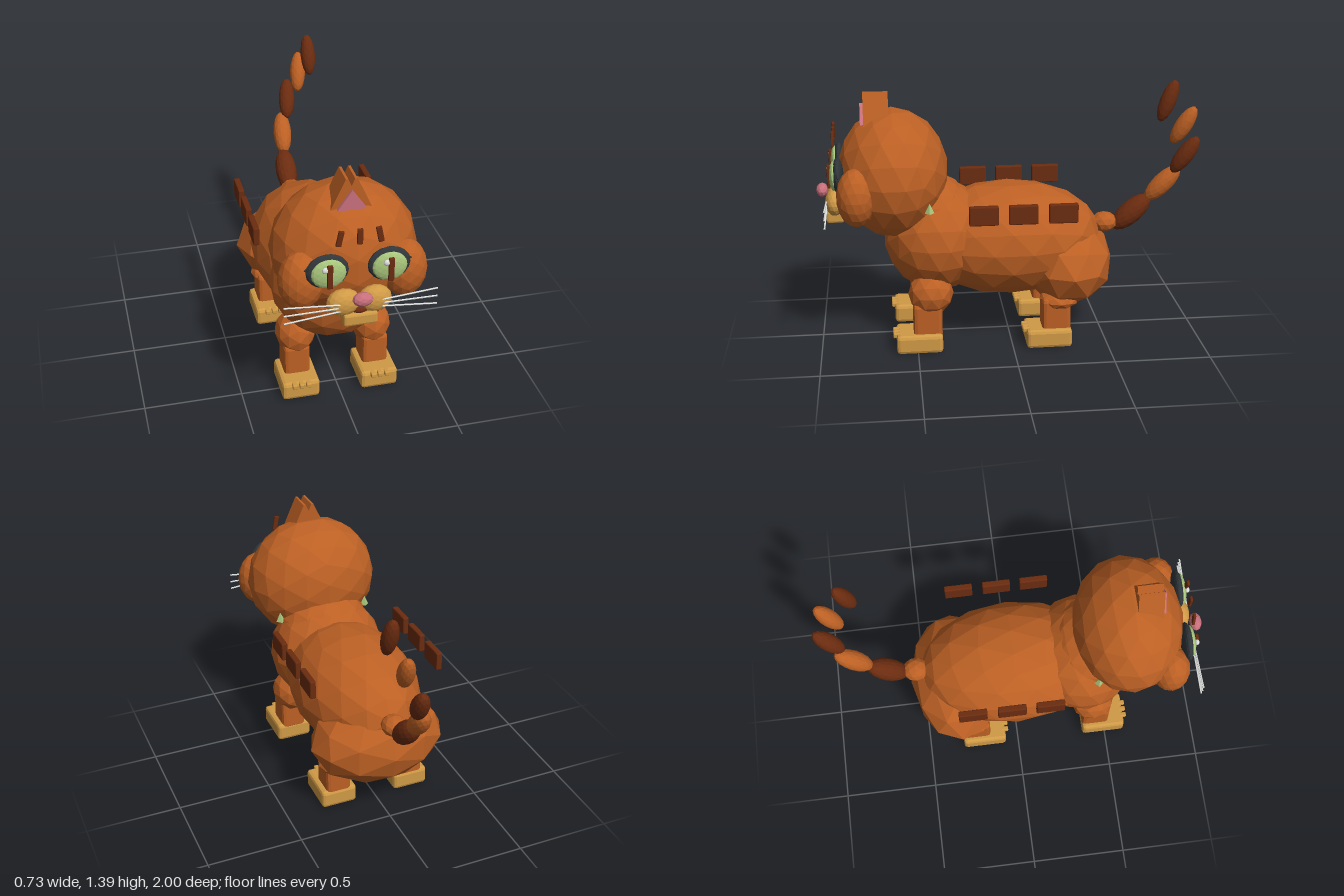
import * as THREE from 'three';
import { RoundedBoxGeometry } from 'three/addons/geometries/RoundedBoxGeometry.js';

const mat = (name, color) => {
  const m = new THREE.MeshStandardMaterial({ color, flatShading: true });
  m.name = name;
  return m;
};

export function createModel() {
  const root = new THREE.Group();
  root.name = 'cat';
  const fur = mat('orange fur', 0xbc6024);
  const stripe = mat('dark brown stripe', 0x6b2c10);
  const cream = mat('tan paws and muzzle', 0xd09a46);
  const green = mat('eye green', 0xa9c67c);
  const dark = mat('eye rim', 0x30363a);
  const pink = mat('pink', 0xc9707c);
  const white = mat('pale grey', 0xdcdedc);

  const add = (name, geo, m, p = [0, 0, 0], rot = [0, 0, 0]) => {
    const mesh = new THREE.Mesh(geo, m);
    mesh.name = name;
    mesh.position.set(...p);
    mesh.rotation.set(...rot);
    root.add(mesh);
    return mesh;
  };
  // Faceted ellipsoid
  const ball = (name, m, p, r, detail = 2) =>
    add(name, new THREE.IcosahedronGeometry(1, detail).scale(...r), m, p);
  // Box with bevelled edges
  const box = (name, m, p, s, bevel = 0.006, rot) =>
    add(name, new RoundedBoxGeometry(...s, 1, bevel), m, p, rot);

  // Body
  ball('torso', fur, [0, 0.53, 0], [0.33, 0.303, 0.5]);
  ball('chest', fur, [0, 0.56, 0.38], [0.315, 0.3, 0.28]);
  ball('neck', fur, [0, 0.7, 0.42], [0.25, 0.19, 0.22]);
  ball('rump', fur, [0, 0.395, -0.31], [0.365, 0.235, 0.25], 1);

  // Head
  ball('head', fur, [0, 0.905, 0.6], [0.36, 0.337, 0.287]);

  for (const s of [-1, 1]) {
    ball('cheek', fur, [s * 0.25, 0.85, 0.79], [0.112, 0.152, 0.1]);

    // Legs, paws and toes
    for (const [part, legZ, pawZ] of [['front', 0.445, 0.49], ['hind', -0.23, -0.19]]) {
      const isFront = part === 'front';
      ball(part + 'UpperLeg', fur, isFront ? [s * 0.2, 0.3, 0.425] : [s * 0.2, 0.24, -0.25],
        isFront ? [0.105, 0.115, 0.118] : [0.1, 0.05, 0.105], 1);
      box(part + 'Leg', fur, [s * 0.207, 0.165, legZ], [0.135, 0.19, 0.15], 0.02);
      box(part + 'Paw', cream, [s * 0.207, 0.05, pawZ], [0.195, 0.1, 0.24], 0.018);
      for (const t of [-1, 0, 1])
        box(part + 'Toe', cream, [s * 0.207 + t * 0.036, 0.087, pawZ + 0.1], [0.026, 0.026, 0.075]);
    }

    // Side stripes
    for (const z of [0.158, -0.042, -0.245])
      box('sideStripe', stripe, [s * 0.35, 0.765, z], [0.032, 0.1, 0.148]);

    // Eyes
    ball('eyeRim', dark, [s * 0.147, 0.94, 0.88], [0.103, 0.09, 0.03]);
    add('eyeCorner', new THREE.ConeGeometry(0.05, 0.06, 6).scale(1, 1, 0.4), dark,
      [s * 0.228, 0.955, 0.878], [0, 0, -s * Math.PI / 2]);
    ball('iris', green, [s * 0.145, 0.937, 0.9], [0.084, 0.076, 0.024]);
    box('pupil', stripe, [s * 0.145, 0.935, 0.926], [0.027, 0.122, 0.016], 0.004);
    ball('eyeGlint', white, [s * 0.145 - 0.022, 0.973, 0.925], [0.016, 0.016, 0.012], 1);

    // Muzzle half and whiskers
    ball('muzzle', cream, [s * 0.075, 0.775, 0.905], [0.082, 0.07, 0.048]);
    for (const t of [-1, 0, 1]) {
      const path = new THREE.LineCurve3(
        new THREE.Vector3(s * 0.1, 0.77 + t * 0.018, 0.945),
        new THREE.Vector3(s * 0.367, 0.77 + t * 0.043, 0.948));
      add('whisker', new THREE.TubeGeometry(path, 1, 0.0045, 5), white);
    }

    // Ears: thick wedges meeting at the middle of the head
    const ear = new THREE.Shape([
      [0.1, 1.17], [0.028, 1.327], [0.016, 1.327], [-0.05, 1.17],
    ].map(([x, y]) => new THREE.Vector2(s * x, y)));
    add('ear', new THREE.ExtrudeGeometry(ear, { depth: 0.128, bevelEnabled: false }), fur,
      [0, 0, 0.615]);
    const inner = new THREE.Shape([
      [0.07, 1.175], [0, 1.275], [0, 1.175],
    ].map(([x, y]) => new THREE.Vector2(s * x, y)));
    add('innerEar', new THREE.ExtrudeGeometry(inner, { depth: 0.018, bevelEnabled: false }), pink,
      [0, 0, 0.742]);

    // Small green points behind the jaw
    add('greenPoint', new THREE.ConeGeometry(0.024, 0.055, 4), green, [s * 0.25, 0.782, 0.425]);
  }

  // Nose, mouth and chin
  ball('nose', pink, [0, 0.82, 0.968], [0.05, 0.036, 0.032], 1);
  ball('mouth', stripe, [0, 0.737, 0.915], [0.045, 0.022, 0.03], 1);
  box('chin', cream, [0, 0.693, 0.905], [0.165, 0.065, 0.09], 0.012);

  // Forehead stripes
  for (const t of [-1, 0, 1])
    box('foreheadStripe', stripe, [t * 0.094, 1.116, 0.9], [0.027, 0.08, 0.014], 0.004,
      [0, 0, t * 0.2]);

  // Tail: root, then alternating tapered segments
  ball('tailRoot', fur, [0, 0.59, -0.52], [0.065, 0.055, 0.07], 1);
  const up = new THREE.Vector3(0, 1, 0);
  [ // centre, direction, radius, half length
    [[0, 0.64, -0.665], [0, 0.18, -0.2], 0.06, 0.132],
    [[0.015, 0.8, -0.827], [0.02, 0.187, -0.176], 0.052, 0.126],
    [[0.065, 0.968, -0.93], [0.03, 0.2, -0.13], 0.046, 0.118],
    [[0.125, 1.145, -0.9], [0.03, 0.2, -0.11], 0.044, 0.114],
    [[0.163, 1.285, -0.802], [0, 0.22, -0.08], 0.041, 0.114],
  ].forEach(([p, d, r, h], i) => {
    const seg = ball('tailSegment', i % 2 ? fur : stripe, p, [r, h, r]);
    seg.quaternion.setFromUnitVectors(up, new THREE.Vector3(...d).normalize());
  });

  return root;
}
